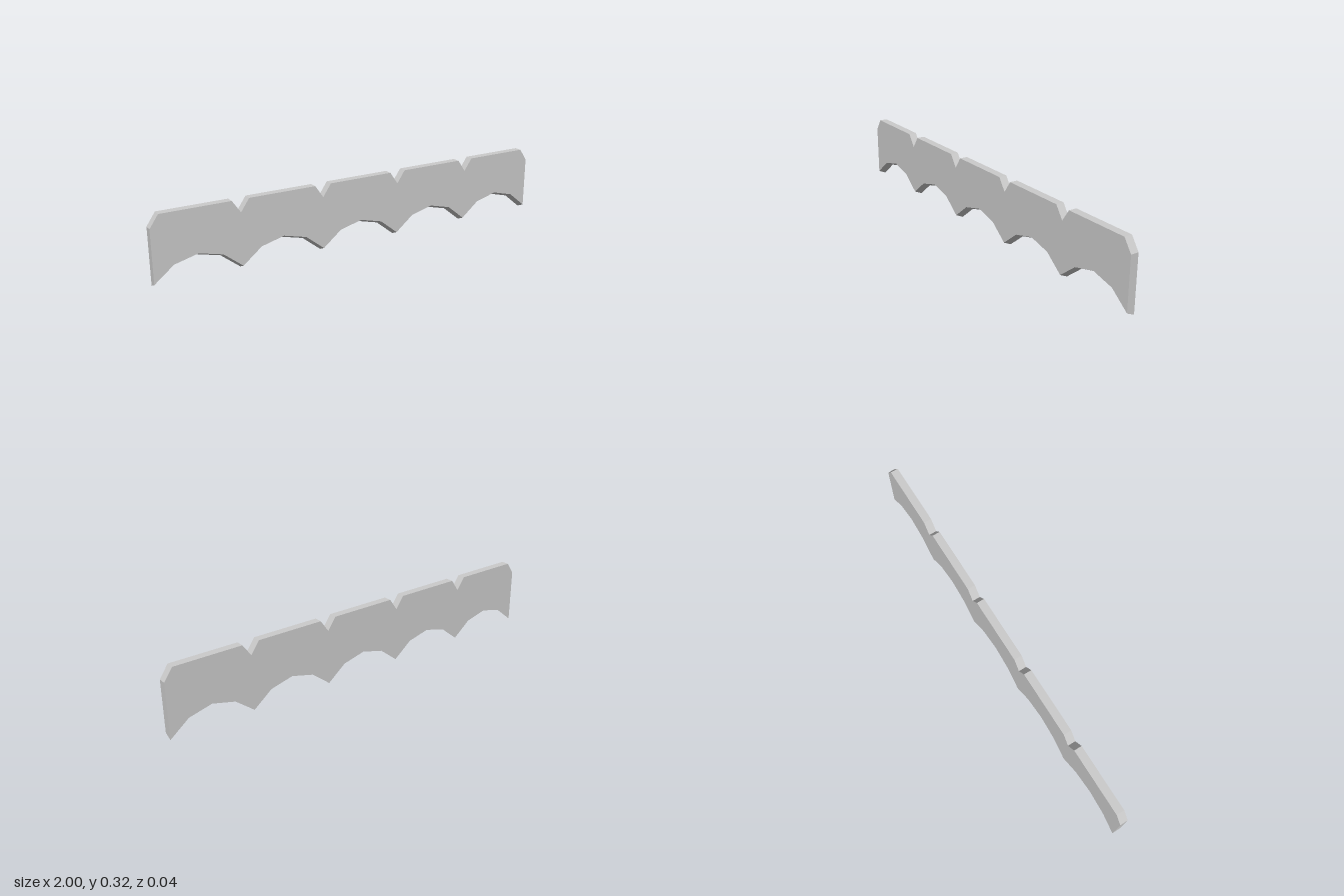
import * as THREE from 'three';

const BAYS = 5, PITCH = 0.4, DEPTH = 0.038;
const TOP = 0.323, NOTCH = 0.265, NOTCH_HALF = 0.04;
const TIP = 0.019, KNEE = 0.091, APEX = 0.119, BACK_DROP = 0.017;

export function createModel() {
  const group = new THREE.Group();
  group.name = 'scallopedTrim';

  // Lower scallops run left to right, then the notched top runs back
  const points = [[-1, TIP]];
  for (let i = 0; i < BAYS; i++) {
    const x = -1 + (i + 0.5) * PITCH;
    points.push([x - 0.11, KNEE], [x, APEX], [x + 0.11, KNEE], [x + PITCH / 2, TIP]);
  }
  points.push([1, NOTCH]);
  for (let i = BAYS - 1; i >= 0; i--) {
    const x = -1 + i * PITCH;
    points.push([x + PITCH - NOTCH_HALF, TOP], [x + NOTCH_HALF, TOP], [x, NOTCH]);
  }
  const shape = new THREE.Shape(points.map(([x, y]) => new THREE.Vector2(x, y)));
  const geometry = new THREE.ExtrudeGeometry(shape, { depth: DEPTH, bevelEnabled: false });
  geometry.translate(0, 0, -DEPTH / 2);

  // Slope the underside: the back edge hangs lower than the front
  const pos = geometry.attributes.position;
  for (let i = 0; i < pos.count; i++) {
    if (pos.getZ(i) < 0 && pos.getY(i) < 0.2) pos.setY(i, pos.getY(i) - BACK_DROP);
  }
  geometry.computeVertexNormals();

  const board = new THREE.Mesh(
    geometry,
    new THREE.MeshStandardMaterial({ color: 0xcccccc, flatShading: true })
  );
  board.name = 'scallopedBoard';
  group.add(board);
  return group;
}
